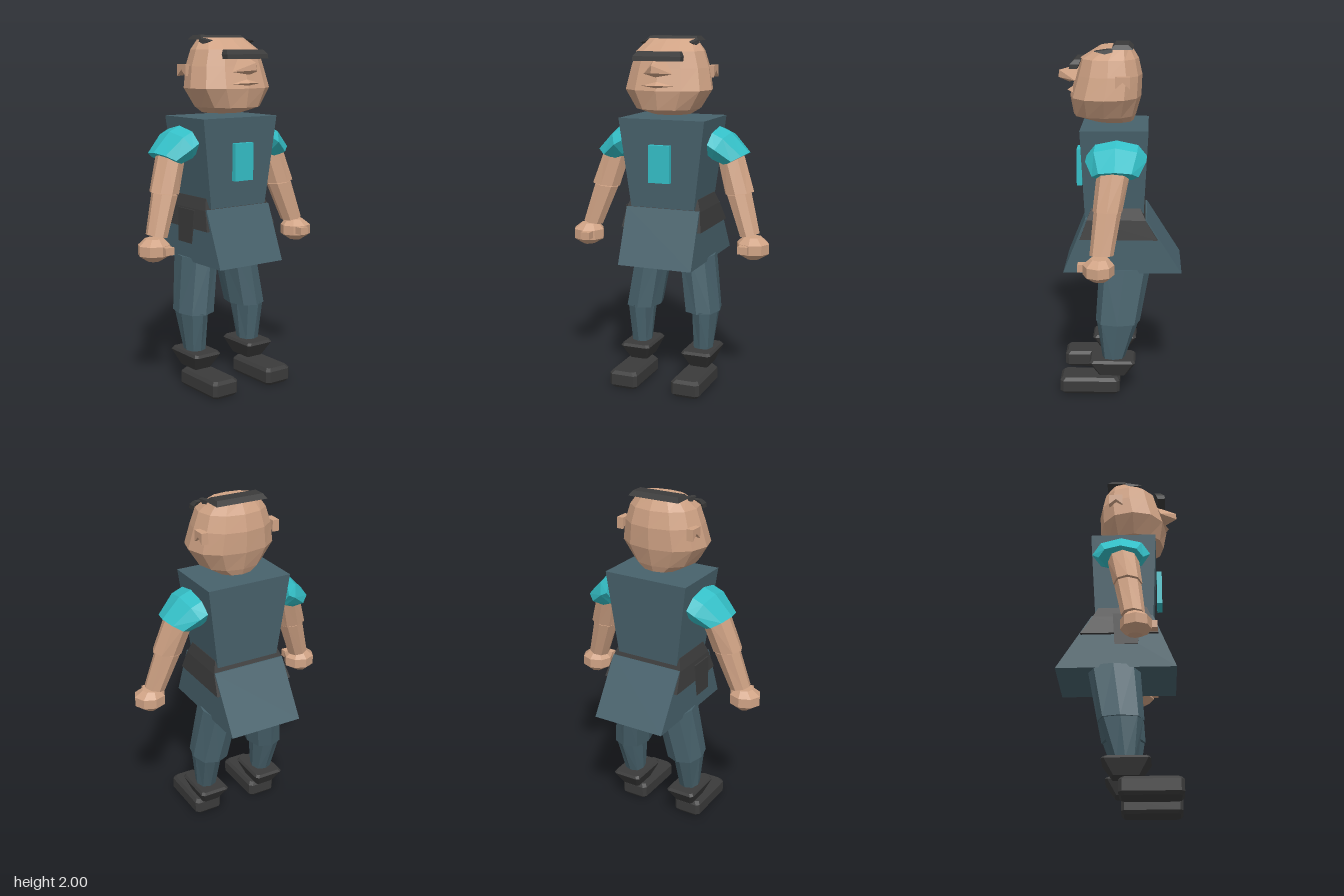
import * as THREE from 'three';
import { ConvexGeometry } from 'three/addons/geometries/ConvexGeometry.js';

const V = (x, y, z) => new THREE.Vector3(x, y, z);
const mat = (name, color) => {
  const m = new THREE.MeshStandardMaterial({ color });
  m.name = name;
  return m;
};

// Closed, flat-faced skin over a stack of convex sections
function loft(sections) {
  const tris = [], n = sections[0].length;
  for (let i = 0; i < sections.length - 1; i++) {
    const a = sections[i], b = sections[i + 1];
    for (let j = 0; j < n; j++) {
      const k = (j + 1) % n;
      tris.push([a[j], b[j], b[k]], [a[j], b[k], a[k]]);
    }
  }
  const first = sections[0], last = sections[sections.length - 1];
  for (let j = 1; j < n - 1; j++) {
    tris.push([first[0], first[j], first[j + 1]], [last[0], last[j + 1], last[j]]);
  }
  // Signed volume tells whether the faces point outwards
  const mid = first[0];
  let volume = 0;
  for (const [a, b, c] of tris) {
    volume += a.clone().sub(mid).dot(b.clone().sub(mid).cross(c.clone().sub(mid)));
  }
  const pts = tris.flatMap(([a, b, c]) => (volume < 0 ? [a, c, b] : [a, b, c]));
  const g = new THREE.BufferGeometry().setFromPoints(pts);
  g.computeVertexNormals();
  return g;
}

// Horizontal rectangle, optionally with cut corners
function rect(y, x0, x1, z0, z1, c = 0) {
  if (!c) return [V(x0, y, z0), V(x1, y, z0), V(x1, y, z1), V(x0, y, z1)];
  return [V(x0 + c, y, z0), V(x1 - c, y, z0), V(x1, y, z0 + c), V(x1, y, z1 - c),
    V(x1 - c, y, z1), V(x0 + c, y, z1), V(x0, y, z1 - c), V(x0, y, z0 + c)];
}

// Horizontal rounded section; power under 1 makes it squarer
function oval(y, x0, x1, z0, z1, n, power = 1) {
  return Array.from({ length: n }, (_, i) => {
    const a = (i / n) * Math.PI * 2;
    const p = (t) => Math.sign(t) * Math.pow(Math.abs(t), power);
    return V((x0 + x1) / 2 + p(Math.sin(a)) * (x1 - x0) / 2, y,
      (z0 + z1) / 2 + p(Math.cos(a)) * (z1 - z0) / 2);
  });
}

// Tilted limb section spanning two points in the xy plane
function tilted(s, ax, ay, bx, by, zc, zh, n = 8) {
  return Array.from({ length: n }, (_, i) => {
    const a = (i / n) * Math.PI * 2, t = Math.cos(a) / 2;
    return V(s * ((ax + bx) / 2 + (ax - bx) * t), (ay + by) / 2 + (ay - by) * t, zc + zh * Math.sin(a));
  });
}

const hull = (pts) => new ConvexGeometry(pts.map((p) => V(...p)));

export function createModel() {
  const model = new THREE.Group();
  model.name = 'figure';
  const skin = mat('skin', 0xd0a385);
  const cloth = mat('cloth', 0x48626c);
  const cyan = mat('cyan', 0x34bfc7);
  const dark = mat('dark', 0x3b3b3b);

  const add = (name, geometry, material, parent = model) => {
    const m = new THREE.Mesh(geometry, material);
    m.name = name;
    parent.add(m);
    return m;
  };
  const block = (name, w, h, d, x, y, z, material, parent) =>
    add(name, new THREE.BoxGeometry(w, h, d), material, parent).position.set(x, y, z);

  // Head
  const head = new THREE.Group();
  head.name = 'head';
  model.add(head);
  add('skull', loft([
    [1.57, 0.11, 0.15, -0.07], [1.605, 0.18, 0.265, -0.085], [1.71, 0.25, 0.285, -0.115],
    [1.83, 0.225, 0.25, -0.12], [1.92, 0.195, 0.225, -0.1], [1.985, 0.14, 0.12, -0.06],
  ].map(([y, w, zf, zb]) => oval(y, -w, w, zb, zf, 12, 0.9))), skin, head);
  add('nose', hull([[-0.03, 1.88, 0.23], [0.03, 1.88, 0.23], [0, 1.85, 0.345], [0, 1.81, 0.35],
    [-0.085, 1.8, 0.25], [0.085, 1.8, 0.25], [0, 1.785, 0.29]]), skin, head);
  add('lips', hull([[-0.12, 1.735, 0.25], [0.12, 1.735, 0.25], [0, 1.76, 0.27], [0, 1.74, 0.3],
    [0, 1.722, 0.275]]), skin, head);
  add('brow', loft([rect(1.87, -0.14, 0.14, 0.235, 0.28), rect(1.895, -0.14, 0.14, 0.225, 0.275),
    rect(1.92, -0.125, 0.125, 0.215, 0.25)]), dark, head);
  add('hairTop', loft([rect(1.975, -0.155, 0.155, -0.07, 0.055), rect(2, -0.14, 0.14, -0.045, 0.03)]), dark, head);

  // Torso, skirt and belt
  add('torso', loft([rect(1.05, -0.19, 0.19, -0.132, 0.197), rect(1.55, -0.255, 0.255, -0.157, 0.218)]), cloth);
  block('chestPlate', 0.125, 0.21, 0.03, 0, 1.305, 0.235, cyan);
  add('skirt', loft([rect(0.73, -0.22, 0.22, -0.35, 0.322), rect(1.045, -0.22, 0.22, -0.15, 0.195)]), cloth);
  add('belt', loft([rect(0.93, -0.24, 0.24, -0.212, 0.225), rect(1.04, -0.222, 0.222, -0.145, 0.185),
    rect(1.105, -0.2, 0.2, -0.115, 0.16)]), dark);
  add('pouch', loft([rect(0.85, -0.264, -0.26, -0.02, 0.11), rect(1.04, -0.256, -0.248, -0.03, 0.125)]), dark);

  for (const s of [1, -1]) {
    const side = s > 0 ? 'left' : 'right';
    const limb = new THREE.Group();
    limb.name = `${side}Limbs`;
    model.add(limb);

    // Ear with a notched lower edge, and side lock of hair
    const ear = new THREE.Shape([[-0.055, 1.84], [0.025, 1.84], [0.025, 1.775], [-0.015, 1.81], [-0.055, 1.775]]
      .map(([z, y]) => new THREE.Vector2(-z, y)));
    const earGeo = new THREE.ExtrudeGeometry(ear, { depth: 0.04, bevelEnabled: false });
    earGeo.rotateY(Math.PI / 2).translate(s > 0 ? 0.2 : -0.24, 0, 0);
    add('ear', earGeo, skin, limb);
    add('hairLock', hull([[0.13, 1.985, 0.04], [0.155, 1.98, 0.04], [0.135, 1.97, 0.14], [0.15, 1.965, 0.14],
      [0.14, 1.94, 0.04], [0.165, 1.94, 0.04]].map(([x, y, z]) => [s * x, y, z])), dark, limb);

    // Arm
    add('sleeve', loft([
      tilted(s, 0.275, 1.505, 0.24, 1.33, 0.015, 0.165), tilted(s, 0.345, 1.475, 0.26, 1.31, 0.02, 0.165),
      tilted(s, 0.45, 1.365, 0.32, 1.29, 0.02, 0.125),
    ]), cyan, limb);
    add('upperArm', loft([tilted(s, 0.42, 1.37, 0.275, 1.31, 0.03, 0.09),
      tilted(s, 0.495, 1.155, 0.325, 1.135, 0.06, 0.08)]), skin, limb);
    add('forearm', loft([tilted(s, 0.48, 1.15, 0.335, 1.13, 0.06, 0.075),
      tilted(s, 0.54, 0.93, 0.425, 0.905, 0.09, 0.065)]), skin, limb);
    add('fist', loft([
      oval(0.785, s * 0.475, s * 0.545, 0.06, 0.14, 8), oval(0.82, s * 0.415, s * 0.6, 0.02, 0.19, 8),
      oval(0.875, s * 0.415, s * 0.6, 0.02, 0.19, 8), oval(0.91, s * 0.45, s * 0.555, 0.05, 0.15, 8),
    ]), skin, limb);
    block('thumb', 0.055, 0.042, 0.09, s * 0.48, 0.852, 0.174, skin, limb);

    // Leg
    add('thigh', loft([oval(0.75, s * 0.04, s * 0.235, -0.175, 0.12, 8, 0.8),
      oval(0.43, s * 0.085, s * 0.285, -0.115, 0.14, 8, 0.8)]), cloth, limb);
    add('shin', loft([oval(0.44, s * 0.13, s * 0.272, -0.11, 0.135, 8, 0.8),
      oval(0.2, s * 0.138, s * 0.25, -0.025, 0.1, 8, 0.8)]), cloth, limb);
    const [i, o] = s > 0 ? [0.1, 0.28] : [-0.28, -0.1];
    add('bootCuff', loft([rect(0.11, i + 0.035, o - 0.035, -0.035, 0.12, 0.01),
      rect(0.195, i, o, -0.09, 0.175, 0.015), rect(0.21, i + 0.01, o - 0.01, -0.08, 0.165, 0.015)]), dark, limb);
    add('foot', loft([[0, 0.015], [0.018, 0], [0.082, 0], [0.1, 0.015]]
      .map(([y, d]) => rect(y, i + 0.005 + d, o - 0.005 - d, d, 0.345 - d, 0.018))), dark, limb);
  }
  return model;
}
